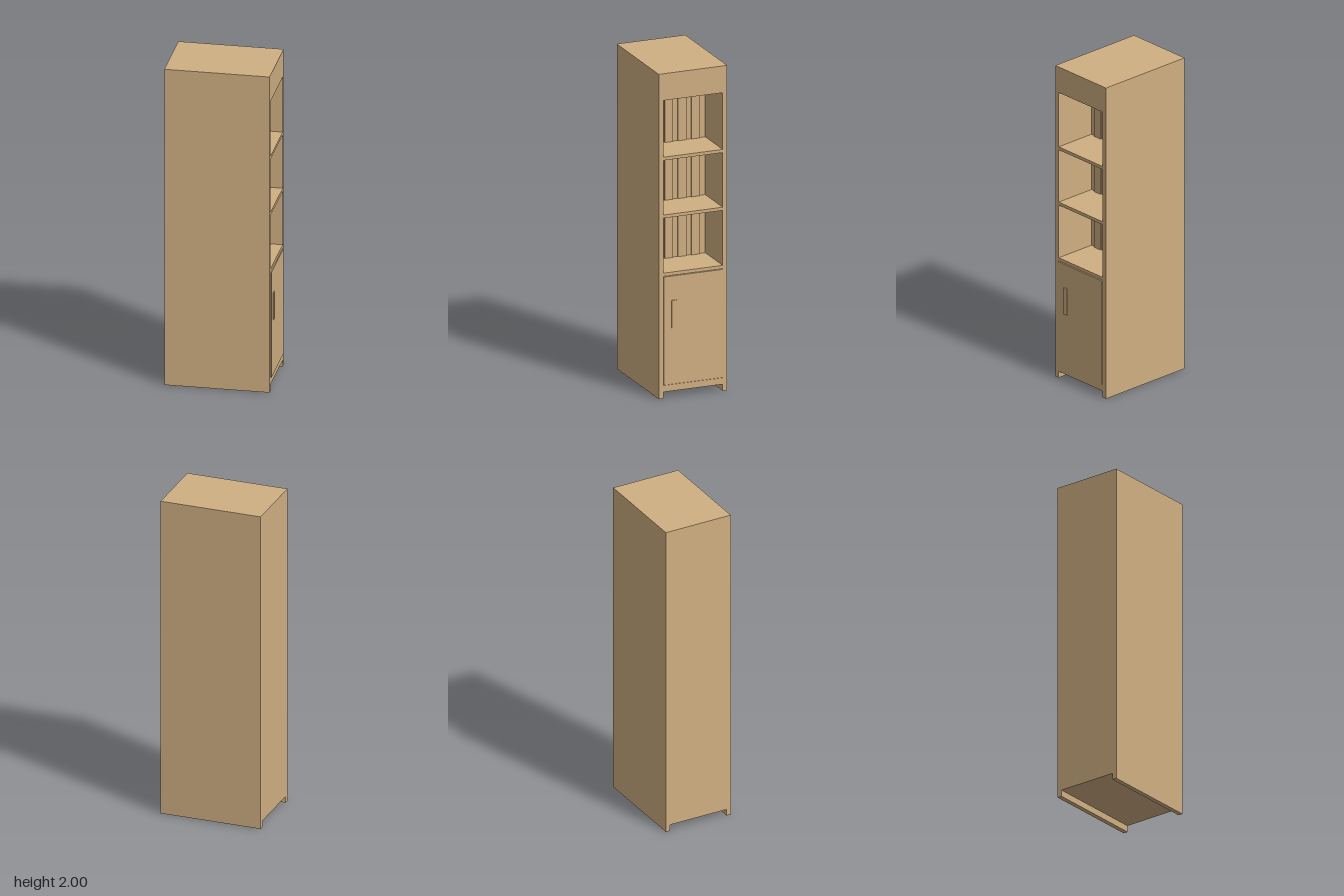
import * as THREE from 'three';

export function createModel() {
  const group = new THREE.Group();
  const wood = new THREE.MeshStandardMaterial({ color: 0xd0af82 });
  wood.name = 'light wood';

  // Box given by its extents on each axis
  const box = (name, [x0, x1], [y0, y1], [z0, z1]) => {
    const mesh = new THREE.Mesh(new THREE.BoxGeometry(x1 - x0, y1 - y0, z1 - z0), wood);
    mesh.position.set((x0 + x1) / 2, (y0 + y1) / 2, (z0 + z1) / 2);
    mesh.name = name;
    group.add(mesh);
  };

  const back = -0.32, front = 0.308, split = 0.047;
  const inner = 0.189, outer = 0.218;
  const span = [-inner, inner];

  // Side panels run to the ground and form the feet
  box('sidePanelLeft', [back, front], [0, 2], [inner, outer]);
  box('sidePanelRight', [back, front], [0, 2], [-outer, -inner]);

  // Closed rear body, header above the shelves and base rail
  box('rearBody', [back, split], [0.04, 2], span);
  box('header', [split, front], [1.835, 2], span);
  box('base', [split, front], [0.04, 0.08], span);

  // Shelves, with vertical slats on the back wall of each compartment
  const shelves = [[0.752, 0.772], [1.11, 1.13], [1.466, 1.486]];
  const ceilings = [1.11, 1.466, 1.835];
  shelves.forEach((y, i) => {
    box('shelf', [split, front], y, span);
    for (let k = 0; k < 4; k++) {
      const z = 0.13 - k * 0.0845;
      box('backSlat', [split, split + 0.008], [y[1], ceilings[i]], [z - 0.0265, z + 0.0265]);
    }
  });

  // Door and its handle
  box('door', [0.29, 0.313], [0.083, 0.749], [-0.187, 0.187]);
  box('doorHandle', [0.313, 0.32], [0.43, 0.6], [0.106, 0.138]);

  return group;
}
